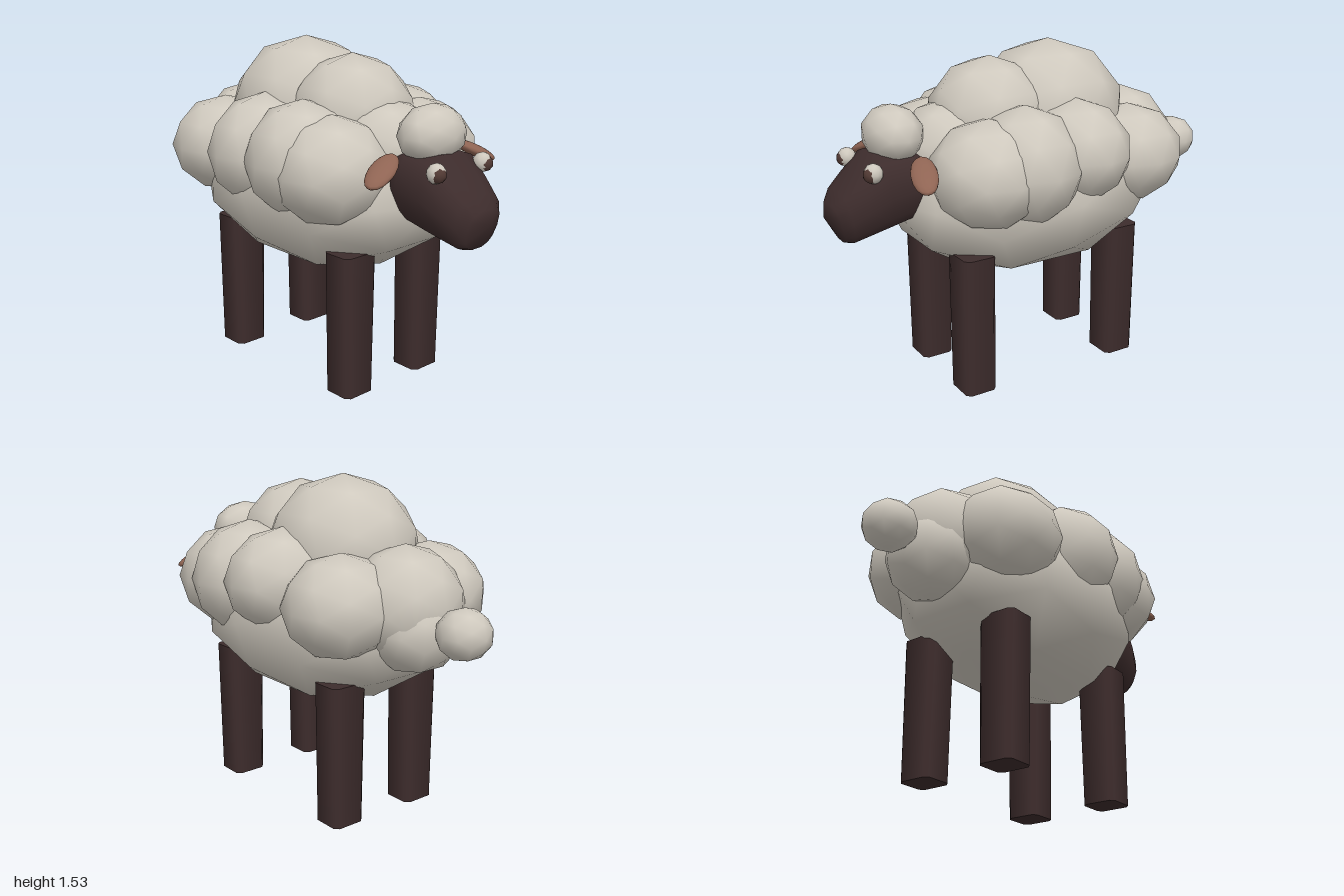
import * as THREE from 'three';
import { mergeVertices } from 'three/addons/utils/BufferGeometryUtils.js';

const mat = (name, color) => {
  const m = new THREE.MeshStandardMaterial({ color });
  m.name = name;
  return m;
};

// Tapered head lofted through rings given as top (z, y), bottom (z, y) and half width
function headGeometry() {
  const rings = [
    [0.52, 1.11, 0.56, 0.84, 0.17],
    [0.64, 1.135, 0.64, 0.815, 0.19],
    [0.78, 1.13, 0.74, 0.79, 0.19],
    [0.87, 1.05, 0.84, 0.765, 0.165],
    [0.94, 0.985, 0.9, 0.748, 0.14],
    [0.975, 0.93, 0.93, 0.755, 0.1],
  ];
  const n = 14, pos = [], idx = [];
  const soft = (v) => Math.sign(v) * Math.pow(Math.abs(v), 0.75);
  for (const [zt, yt, zb, yb, w] of rings) {
    for (let i = 0; i < n; i++) {
      const a = (i / n) * Math.PI * 2;
      const t = (soft(Math.sin(a)) + 1) / 2;
      // The lower jaw is narrower than the brow
      pos.push(soft(Math.cos(a)) * w * (0.88 + 0.12 * Math.min(1, t * 1.6)),
        yb + (yt - yb) * t, zb + (zt - zb) * t);
    }
  }
  for (let r = 0; r < rings.length - 1; r++) {
    for (let i = 0; i < n; i++) {
      const a = r * n + i, b = r * n + (i + 1) % n;
      idx.push(a, b, b + n, a, b + n, a + n);
    }
  }
  // Nose tip and back cap
  const last = (rings.length - 1) * n, tip = pos.length / 3;
  pos.push(0, 0.875, 1.0, 0, 0.98, 0.52);
  for (let i = 0; i < n; i++) {
    const j = (i + 1) % n;
    idx.push(last + i, last + j, tip, j, i, tip + 1);
  }
  const g = new THREE.BufferGeometry();
  g.setAttribute('position', new THREE.Float32BufferAttribute(pos, 3));
  g.setIndex(idx);
  g.computeVertexNormals();
  return g;
}

// Square post with chamfered corners, slightly wider at the top
function legGeometry() {
  const x = 0.082, z = 0.077, c = 0.02, height = 0.66;
  const s = new THREE.Shape([
    [x - c, -z], [x, c - z], [x, z - c], [x - c, z],
    [c - x, z], [-x, z - c], [-x, c - z], [c - x, -z],
  ].map(([a, b]) => new THREE.Vector2(a, b)));
  const g = new THREE.ExtrudeGeometry(s, { depth: height, bevelEnabled: false });
  g.rotateX(-Math.PI / 2);
  const p = g.attributes.position, normal = g.attributes.normal;
  const v = new THREE.Vector3();
  for (let i = 0; i < p.count; i++) {
    // Round shading on the sides, flat caps
    if (Math.abs(normal.getY(i)) < 0.5) {
      v.set(p.getX(i), 0, p.getZ(i)).normalize();
      normal.setXYZ(i, v.x, v.y, v.z);
    }
    p.setX(i, p.getX(i) * (1 + 0.13 * p.getY(i) / height));
  }
  return g;
}

export function createModel() {
  const group = new THREE.Group();
  const wool = mat('wool', 0xcfc9be);
  const dark = mat('dark brown skin', 0x3d2c2c);
  const earBrown = mat('ear brown', 0x8f6453);
  const pupilBrown = mat('pupil brown', 0x523a34);

  const add = (name, geometry, material, [x, y, z]) => {
    const m = new THREE.Mesh(geometry, material);
    m.name = name;
    m.position.set(x, y, z);
    group.add(m);
    return m;
  };
  const ball = (detail) => mergeVertices(new THREE.IcosahedronGeometry(1, detail).deleteAttribute('uv'));
  const puffShape = ball(1), fineShape = ball(2);
  const blob = (name, material, at, size, shape = puffShape) => {
    const m = add(name, shape, material, at);
    m.scale.set(...size);
    return m;
  };

  // Body, its long axis turned to run front to back
  blob('body', wool, [0, 0.89, 0.02], [0.69, 0.41, 0.505]).rotation.y = Math.PI / 2;

  // Wool puffs along the back, from neck to rump
  [
    [[0, 1.08, 0.39], [0.25, 0.23, 0.25]],
    [[0, 1.2, 0.19], [0.29, 0.28, 0.29]],
    [[0, 1.2, -0.12], [0.345, 0.33, 0.36]],
    [[0, 1.01, -0.53], [0.27, 0.26, 0.26]],
    [[0, 0.92, -0.6], [0.22, 0.2, 0.21]],
  ].forEach(([at, size]) => blob('backPuff', wool, at, size));

  // Wool puffs on the flanks, from shoulder to hip
  const flanks = {
    left: [
      [[0.27, 1.03, 0.35], [0.27, 0.24, 0.27]],
      [[0.3, 1.05, 0.19], [0.275, 0.265, 0.25]],
      [[0.3, 1.08, -0.07], [0.275, 0.235, 0.24]],
      [[0.245, 1.01, -0.4], [0.26, 0.23, 0.26]],
    ],
    right: [
      [[-0.27, 1.02, 0.35], [0.27, 0.24, 0.27]],
      [[-0.3, 1.05, 0.2], [0.265, 0.26, 0.25]],
      [[-0.3, 1.05, -0.05], [0.28, 0.26, 0.24]],
      [[-0.25, 1.01, -0.42], [0.26, 0.23, 0.26]],
    ],
  };
  const leg = legGeometry();
  for (const s of [1, -1]) {
    const side = s > 0 ? 'left' : 'right';
    flanks[side].forEach(([at, size]) => blob(side + 'SidePuff', wool, at, size));

    // Legs
    add(side + 'FrontLeg', leg, dark, [s * 0.216, 0, 0.414]);
    add(side + 'BackLeg', leg, dark, [s * 0.216, 0, -0.362]);

    // Ears droop outward and sweep forward
    const ear = blob(side + 'Ear', earBrown, [s * 0.286, 1.077, 0.663], [0.117, 0.026, 0.057], fineShape);
    ear.rotation.set(0.1, -s * 0.36, -s * 0.4);

    // Eyes
    blob(side + 'Eye', wool, [s * 0.143, 1.075, 0.825], [0.043, 0.044, 0.041]);
    blob(side + 'Pupil', pupilBrown, [s * 0.146, 1.072, 0.836], [0.036, 0.036, 0.035]);
  }

  // Head, its woolly cap, and tail
  add('head', headGeometry(), dark, [0, 0, 0]);
  blob('headWool', wool, [0, 1.19, 0.67], [0.168, 0.13, 0.13]);
  blob('tail', wool, [0, 0.95, -0.88], [0.122, 0.112, 0.12]);

  return group;
}
